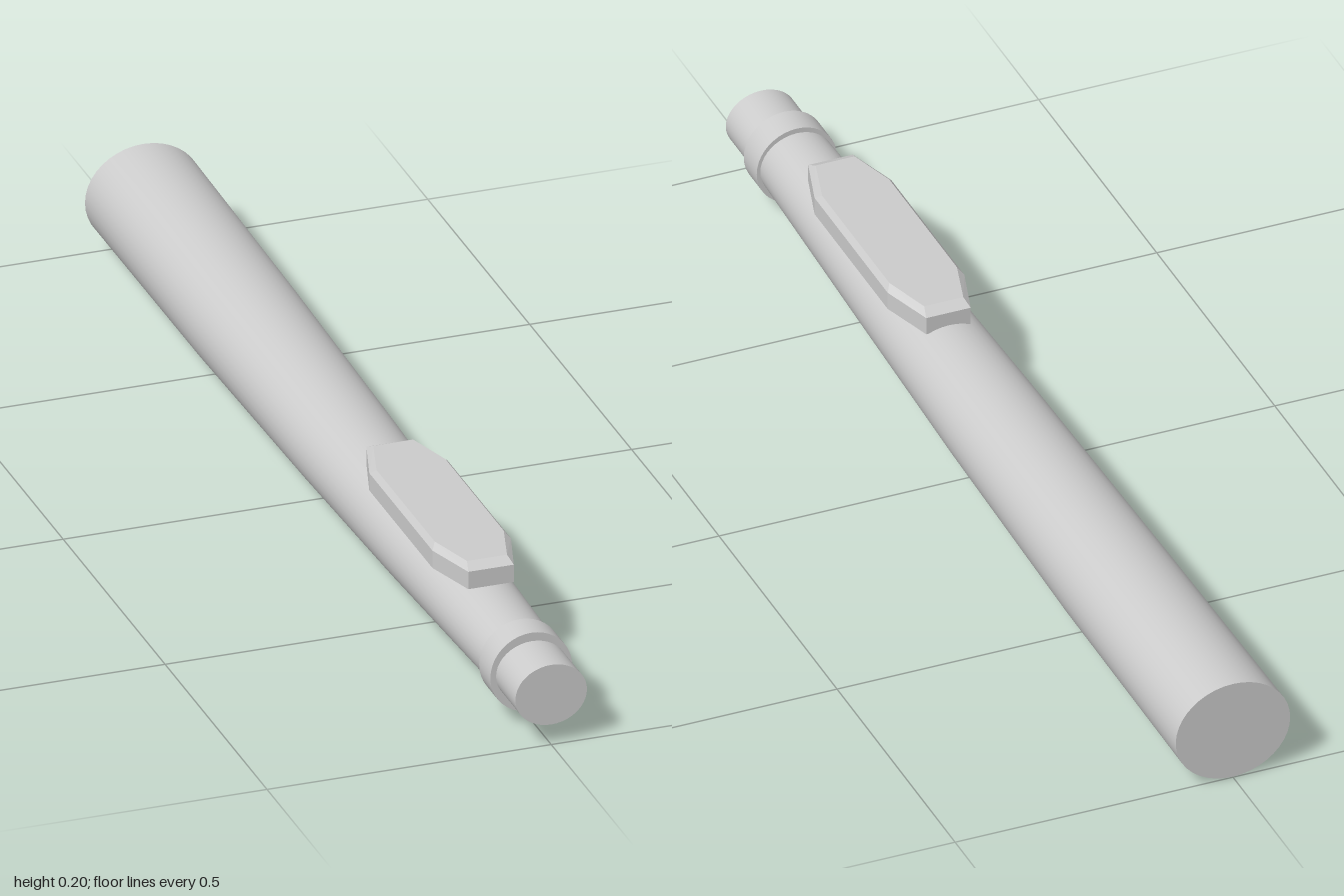
import * as THREE from 'three';

const material = new THREE.MeshStandardMaterial({ color: 0xcccccc });

// Round bar along z through elliptical sections [z, centreX, centreY, radiusX, radiusY], back to front
function roundBar(name, sections) {
  const spans = sections.length - 1;
  const geometry = new THREE.CylinderGeometry(1, 1, 1, 40, spans);
  geometry.rotateX(Math.PI / 2);
  const p = geometry.attributes.position;
  for (let i = 0; i < p.count; i++) {
    const [z, cx, cy, rx, ry] = sections[Math.round((p.getZ(i) + 0.5) * spans)];
    p.setXYZ(i, cx + p.getX(i) * rx, cy + p.getY(i) * ry, z);
  }
  geometry.computeVertexNormals();
  const mesh = new THREE.Mesh(geometry, material);
  mesh.name = name;
  return mesh;
}

// Long octagonal plate with a bevelled upper rim
function clipPlate() {
  const middle = 0.455, bottom = 0.158, rim = 0.19, top = 0.2;
  const corners = [
    [0.04, -0.25], [0.069, -0.155], [0.069, 0.155], [0.04, 0.25],
    [-0.04, 0.25], [-0.069, 0.155], [-0.069, -0.155], [-0.04, -0.25],
  ];
  const shape = new THREE.Shape(corners.map(([x, y]) => new THREE.Vector2(x, y)));
  const geometry = new THREE.ExtrudeGeometry(shape, { depth: 2, steps: 2, bevelEnabled: false });
  geometry.rotateX(-Math.PI / 2);
  const p = geometry.attributes.position;
  const levels = [bottom, rim, top];
  for (let i = 0; i < p.count; i++) {
    const level = Math.round(p.getY(i));
    const sx = level === 2 ? 0.88 : 1;
    const sz = level === 2 ? 0.92 : 1;
    p.setXYZ(i, p.getX(i) * sx, levels[level], middle + p.getZ(i) * sz);
  }
  geometry.computeVertexNormals();
  const mesh = new THREE.Mesh(geometry, material);
  mesh.name = 'clip';
  return mesh;
}

export function createModel() {
  const group = new THREE.Group();
  group.name = 'pen';

  // Tapering barrel
  group.add(roundBar('barrel', [
    [-1, 0, 0.094, 0.103, 0.092],
    [-0.5, 0, 0.09, 0.099, 0.089],
    [0, -0.001, 0.09, 0.091, 0.079],
    [0.4, -0.002, 0.091, 0.08, 0.071],
    [0.87, -0.001, 0.094, 0.065, 0.06],
  ]));

  // Collar and narrow end
  group.add(roundBar('collar', [
    [0.85, -0.001, 0.0915, 0.072, 0.072],
    [0.905, -0.001, 0.0915, 0.072, 0.072],
  ]));
  group.add(roundBar('tip', [
    [0.88, 0, 0.093, 0.063, 0.055],
    [1, 0, 0.093, 0.063, 0.055],
  ]));

  group.add(clipPlate());
  return group;
}
